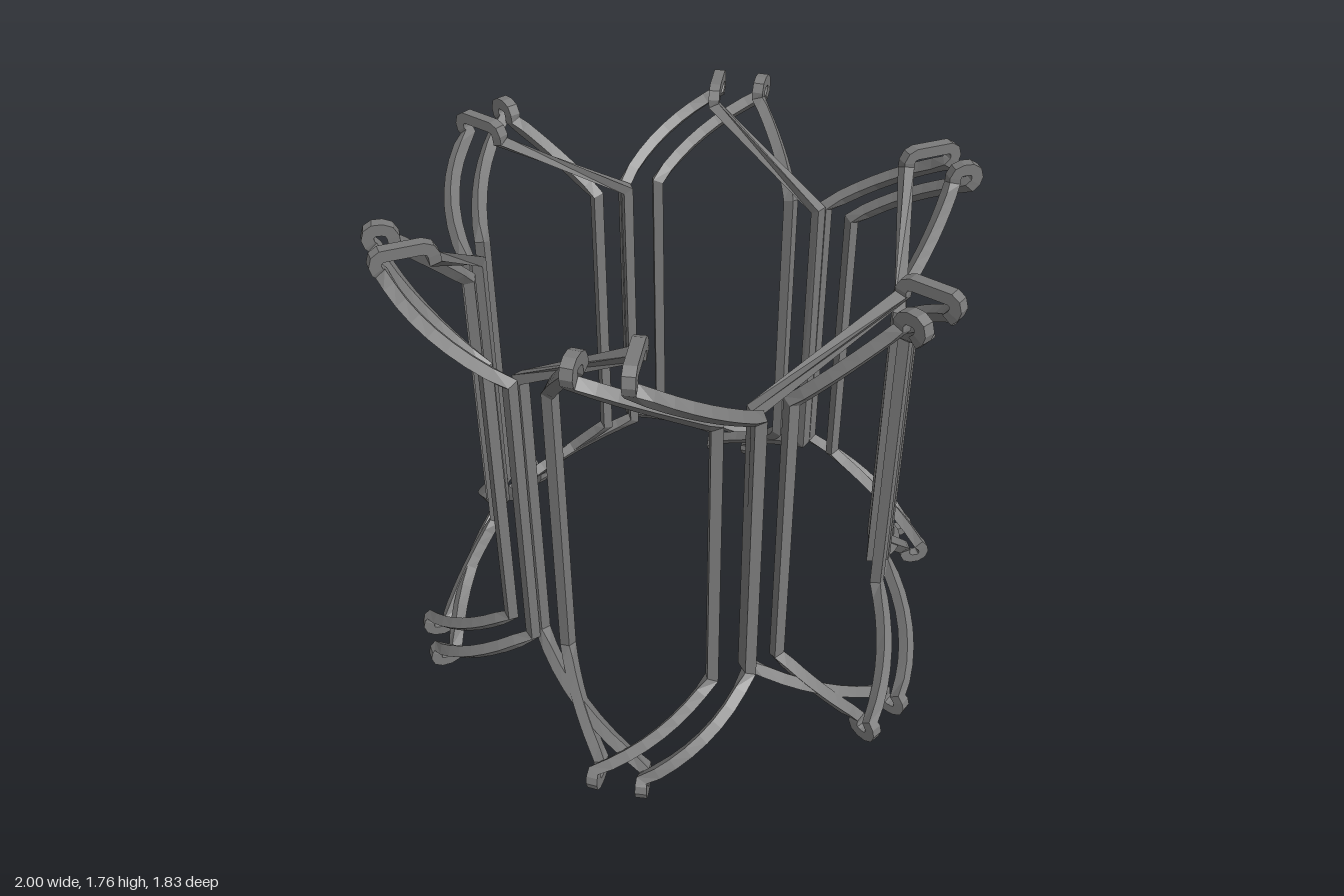
import * as THREE from 'three';

const HEIGHT = 1.76, HALF = 0.0195, CELLS = 6;
const material = new THREE.MeshStandardMaterial({ color: 0x7a7a7a, flatShading: true });

// Quadratic through three [radius, angle, height] points, without its last point
function bow(a, m, b, steps = 8) {
  const pts = [];
  for (let i = 0; i < steps; i++) {
    const t = i / steps;
    const wa = (1 - t) * (1 - 2 * t), wm = 4 * t * (1 - t), wb = t * (2 * t - 1);
    pts.push(a.map((v, k) => v * wa + m[k] * wm + b[k] * wb));
  }
  return pts;
}

// Bent hook at a tip, running from the outside to the inside
function hook(angle, inner) {
  return [[0.965, 1.678], [0.978, 1.692], [0.983, 1.71], [0.977, 1.73], [0.96, 1.74],
    [inner + 0.03, 1.74], [inner + 0.01, 1.732], [inner, 1.712], [inner, 1.69]]
    .map(([r, y]) => [r, angle, y]);
}

// Upper half of a frame: first post, bowed arm, hook, return arm, second post
function upperHalf({ start, mid, tip, back, end }, inner, straight) {
  const top = hook(tip, inner);
  const first = [...start, 1.41], last = [...end, 1.41];
  const pts = [...bow(first, [...mid, 1.553], top[0]), ...top];
  if (!straight) pts.push(...bow(top[top.length - 1], [...back, 1.557], last).slice(1));
  pts.push(last);
  return pts;
}

// Closed square wire swept through cylindrical points
function wire(cyl) {
  const pts = cyl.map(([r, deg, y]) => {
    const a = THREE.MathUtils.degToRad(deg);
    return new THREE.Vector3(r * Math.cos(a), y, r * Math.sin(a));
  });
  const n = pts.length, pos = [], index = [];
  pts.forEach((p, i) => {
    const d0 = p.clone().sub(pts[(i + n - 1) % n]).normalize();
    const d1 = pts[(i + 1) % n].clone().sub(p).normalize();
    const t = d0.add(d1).normalize();
    const side = new THREE.Vector3(-p.z, 0, p.x).normalize();
    side.addScaledVector(t, -side.dot(t)).normalize();
    const up = t.clone().cross(side);
    for (const [u, v] of [[1, 1], [-1, 1], [-1, -1], [1, -1]]) {
      const c = p.clone().addScaledVector(side, u * HALF).addScaledVector(up, v * HALF);
      pos.push(c.x, c.y, c.z);
    }
    const j = (i + 1) % n;
    for (let k = 0; k < 4; k++) {
      const m = (k + 1) % 4;
      const a = i * 4 + k, b = i * 4 + m, c = j * 4 + m, d = j * 4 + k;
      index.push(a, b, c, a, c, d);
    }
  });
  const indexed = new THREE.BufferGeometry();
  indexed.setAttribute('position', new THREE.Float32BufferAttribute(pos, 3));
  indexed.setIndex(index);
  const geo = indexed.toNonIndexed();
  geo.computeVertexNormals();
  return geo;
}

// Whole frame: upper half, then the lower half mirrored and run backwards
function frame(spec, topInner, straightTop) {
  const upper = upperHalf(spec, topInner, straightTop);
  const lower = upperHalf(spec, 0.905, false)
    .map(([r, a, y]) => [r, a, HEIGHT - y]).reverse();
  return wire([...upper, ...lower]);
}

export function createModel() {
  const model = new THREE.Group();
  model.name = 'wireBasket';

  // Wide frame shares its post positions with its neighbours and has the long top hook
  const wide = frame({
    start: [0.755, -30], mid: [0.89, -17.3], tip: -5, back: [0.81, 12], end: [0.712, 30],
  }, 0.805, true);
  // Narrow frame stands inside the wide one with two posts of its own
  const narrow = frame({
    start: [0.755, -20.4], mid: [0.867, -8.2], tip: 4.7, back: [0.815, 12], end: [0.712, 20.4],
  }, 0.905, false);

  for (let i = 0; i < CELLS; i++) {
    const cell = new THREE.Group();
    cell.name = `cell${i + 1}`;
    for (const [name, geo] of [['wideFrame', wide], ['narrowFrame', narrow]]) {
      const mesh = new THREE.Mesh(geo, material);
      mesh.name = name;
      cell.add(mesh);
    }
    cell.rotation.y = (i * Math.PI * 2) / CELLS;
    model.add(cell);
  }
  return model;
}
